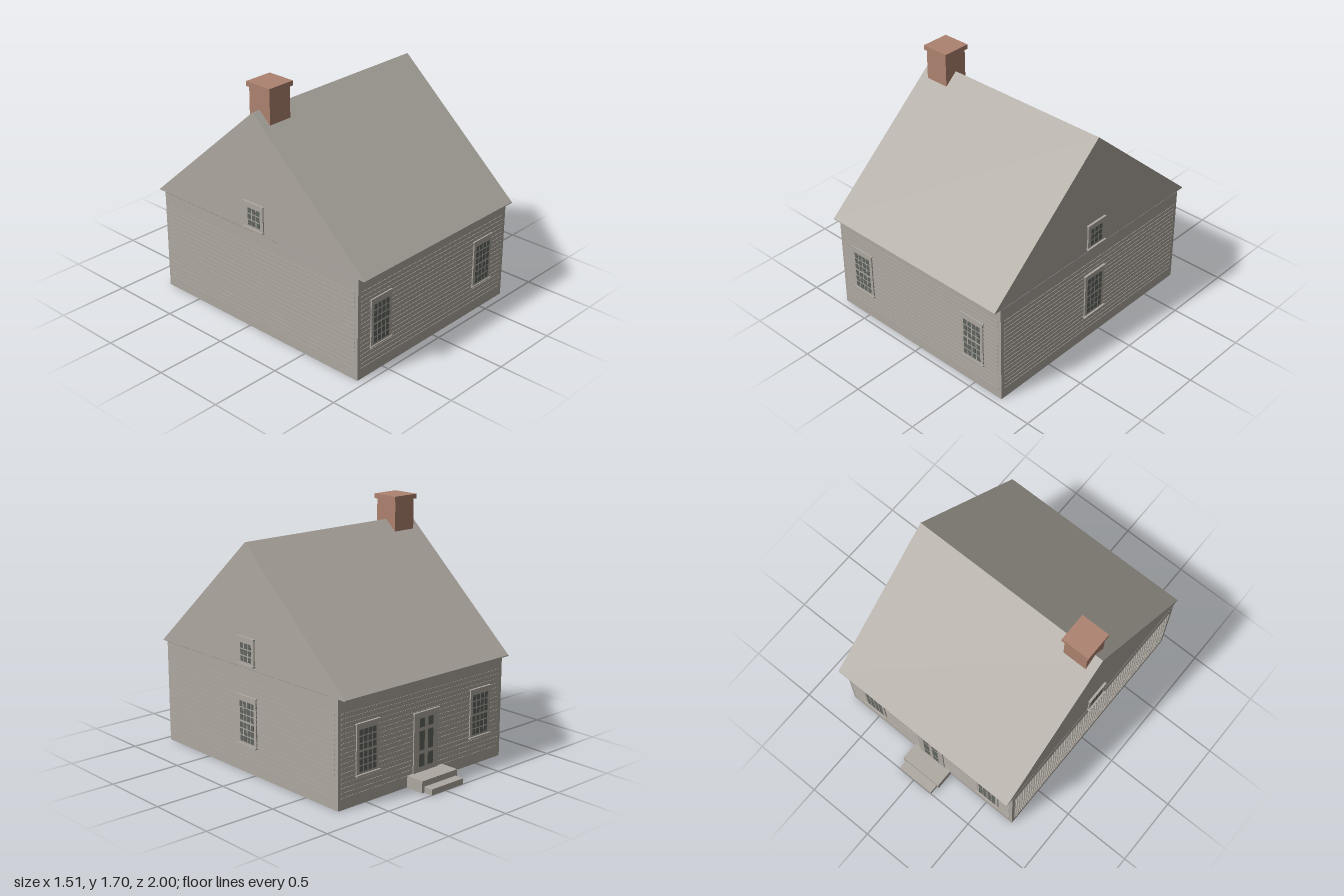
import * as THREE from 'three';

function material(name, color) {
  const m = new THREE.MeshStandardMaterial({ color });
  m.name = name;
  return m;
}

export function createModel() {
  const grey = material('weathered grey', 0xada8a0);
  const pane = material('dark pane', 0x606460);
  const brick = material('brick', 0xad8270);
  const wallGrey = grey;
  wallGrey.side = THREE.DoubleSide;

  const house = new THREE.Group();
  house.name = 'house';

  // Box given by its extents on each axis
  function block(parent, name, mat, x0, x1, y0, y1, z0, z1) {
    const mesh = new THREE.Mesh(new THREE.BoxGeometry(x1 - x0, y1 - y0, z1 - z0), mat);
    mesh.position.set((x0 + x1) / 2, (y0 + y1) / 2, (z0 + z1) / 2);
    mesh.name = name;
    parent.add(mesh);
    return mesh;
  }

  // Grid of thin panes on a board; rows are given as [bottom, top]
  function paneGrid(parent, name, cx, width, cols, rows, gap, z) {
    const w = (width - gap * (cols - 1)) / cols;
    for (const [y0, y1] of rows) {
      for (let c = 0; c < cols; c++) {
        const x0 = cx - width / 2 + c * (w + gap);
        block(parent, name, pane, x0, x0 + w, y0, y1, z, z + 0.001);
      }
    }
  }

  function evenRows(y0, y1, count, gap) {
    const h = (y1 - y0 - gap * (count - 1)) / count;
    return Array.from({ length: count }, (_, i) => [y0 + i * (h + gap), y0 + i * (h + gap) + h]);
  }

  // Frame, head cap, sill and panes
  function addWindow(wall, cx, y0, y1, width, cols, rows, paneWidth, deep) {
    const g = new THREE.Group();
    g.name = 'window';
    const h = width / 2;
    block(g, 'windowFrame', grey, cx - h, cx + h, y0, y1, 0, 0.009);
    block(g, 'windowCap', grey, cx - h - 0.006, cx + h + 0.006, y1 - 0.008, y1, 0, deep - 0.006);
    block(g, 'windowSill', grey, cx - h - 0.006, cx + h + 0.006, y0, y0 + 0.009, 0, deep);
    paneGrid(g, 'windowPane', cx, paneWidth, cols, rows, 0.008, 0.009);
    wall.add(g);
  }

  // Wall panel with rows of clapboard ridges; local +z points outward
  function addWall(name, width, x, z, turn) {
    const wall = new THREE.Group();
    wall.name = name;
    wall.position.set(x, 0, z);
    wall.rotation.y = turn;
    const panel = new THREE.Mesh(new THREE.PlaneGeometry(width, 0.712), wallGrey);
    panel.position.y = 0.356;
    panel.name = 'wallPanel';
    wall.add(panel);
    const half = width / 2 - 0.027;
    for (let i = 0; i < 18; i++) {
      const y = 0.075 + i * 0.0316;
      block(wall, 'clapboard', grey, -half, half, y - 0.0045, y + 0.0045, 0, 0.003);
    }
    house.add(wall);
    return wall;
  }

  const front = addWall('frontWall', 1.466, 0, 0.95, 0);
  const back = addWall('backWall', 1.466, 0, -0.8, Math.PI);
  const left = addWall('leftWall', 1.75, 0.733, 0.075, Math.PI / 2);
  const right = addWall('rightWall', 1.75, -0.733, 0.075, -Math.PI / 2);

  // Tall windows: two sashes of three rows
  const tallRows = [...evenRows(0.213, 0.343, 3, 0.008), ...evenRows(0.357, 0.487, 3, 0.008)];
  for (const [wall, xs, deep] of [[front, [-0.525, 0.49], 0.016], [back, [-0.495, 0.52], 0.022], [left, [0.005], 0.022]]) {
    for (const x of xs) addWindow(wall, x, 0.19, 0.53, 0.188, 4, tallRows, 0.142, deep);
  }

  // Small gable windows
  const gableRows = evenRows(0.758, 0.88, 3, 0.008);
  addWindow(left, 0.005, 0.735, 0.922, 0.162, 3, gableRows, 0.108, 0.022);
  addWindow(right, -0.005, 0.735, 0.922, 0.162, 3, gableRows, 0.108, 0.022);

  // Panelled back door
  const door = new THREE.Group();
  door.name = 'door';
  block(door, 'doorFrame', grey, -0.095, 0.125, 0.08, 0.485, 0, 0.009);
  block(door, 'doorCap', grey, -0.101, 0.131, 0.476, 0.485, 0, 0.018);
  paneGrid(door, 'doorPanel', 0.015, 0.125, 2, [[0.115, 0.2], [0.225, 0.355], [0.38, 0.44]], 0.03, 0.009);
  back.add(door);

  // Back steps
  block(house, 'upperStep', grey, -0.175, 0.145, 0, 0.08, -0.935, -0.8);
  block(house, 'lowerStep', grey, -0.16, 0.125, 0, 0.04, -1, -0.935);

  // Gabled roof as an extruded profile (shape x becomes -z)
  const profile = new THREE.Shape([
    [-1, 0.712], [0.857, 0.712], [0.857, 0.718], [-0.07, 1.535], [-1, 0.718],
  ].map(([x, y]) => new THREE.Vector2(x, y)));
  const roofGeometry = new THREE.ExtrudeGeometry(profile, { depth: 1.462, bevelEnabled: false });
  roofGeometry.translate(0, 0, -0.731).rotateY(Math.PI / 2);
  const roof = new THREE.Mesh(roofGeometry, grey);
  roof.name = 'roof';
  house.add(roof);

  // Chimney, running down through the ceiling
  block(house, 'chimneyShaft', brick, -0.67, -0.495, 0.62, 1.668, -0.017, 0.16);
  block(house, 'chimneyCap', brick, -0.683, -0.48, 1.668, 1.7, -0.03, 0.172);

  return house;
}
